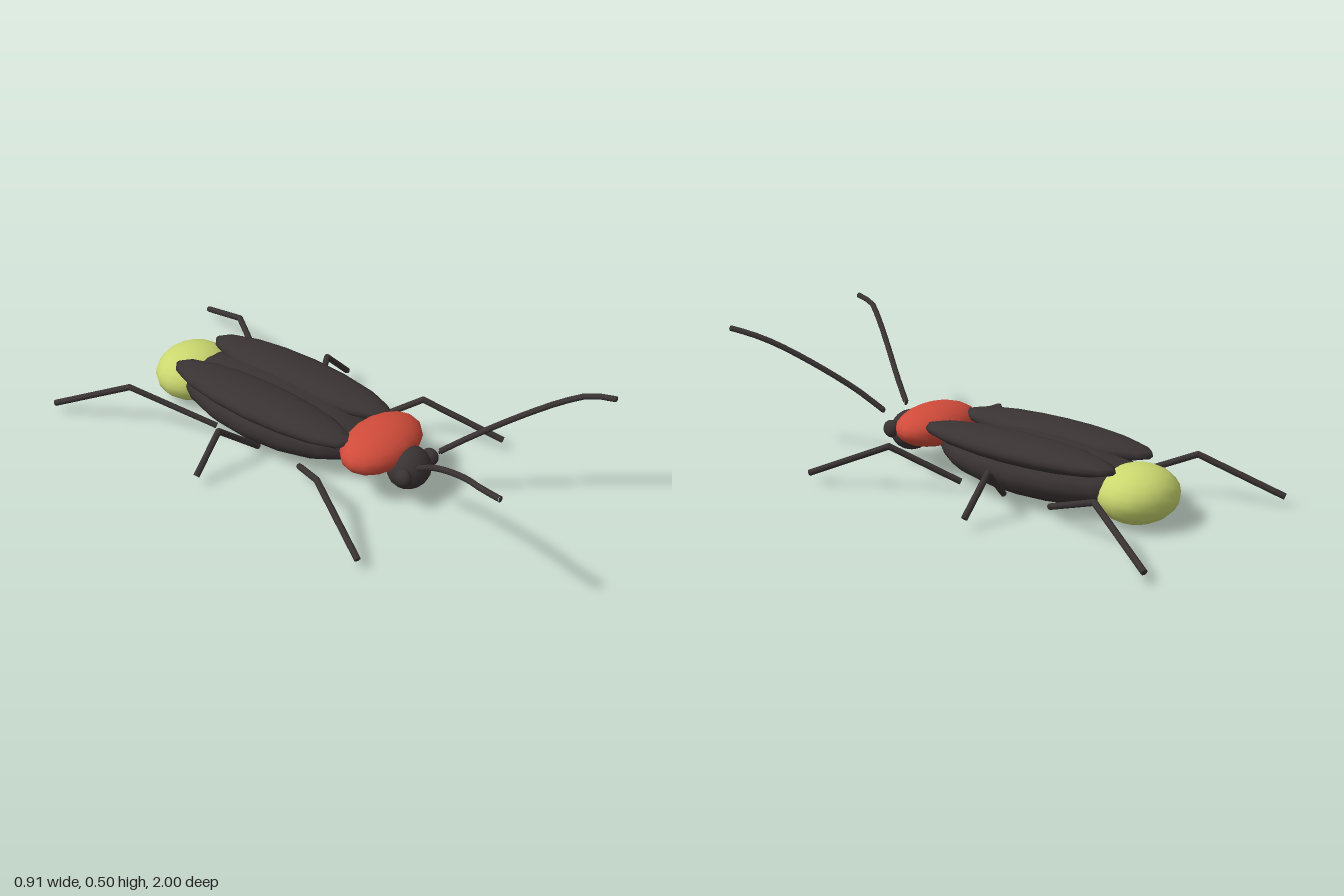
import * as THREE from 'three';

export function createModel() {
  const model = new THREE.Group();
  model.name = 'beetle';
  const mat = (name, color) => Object.assign(new THREE.MeshStandardMaterial({ color }), { name });
  const dark = mat('charcoalShell', 0x3a3334);
  const red = mat('redShield', 0xcf4b3a);
  const glow = mat('yellowGreenGlow', 0xcbd86f);

  const add = (name, geometry, material, parent = model) => {
    const mesh = new THREE.Mesh(geometry, material);
    mesh.name = name;
    parent.add(mesh);
    return mesh;
  };

  // Ellipsoid with given centre and radii
  const blob = (name, material, centre, radii) => {
    const geometry = new THREE.SphereGeometry(1, 16, 12);
    geometry.scale(...radii);
    add(name, geometry, material).position.set(...centre);
  };

  // Straight rod between two points
  const rod = (name, a, b, radius, parent) => {
    const dir = b.clone().sub(a);
    const mesh = add(name, new THREE.CylinderGeometry(radius, radius, dir.length(), 8), dark, parent);
    mesh.position.copy(a).add(b).multiplyScalar(0.5);
    mesh.quaternion.setFromUnitVectors(new THREE.Vector3(0, 1, 0), dir.normalize());
  };

  // Body
  blob('body', dark, [0, 0.125, -0.24], [0.21, 0.11, 0.45]);
  blob('lantern', glow, [0, 0.107, -0.66], [0.16, 0.103, 0.145]);
  blob('thoraxShield', red, [0, 0.175, 0.265], [0.19, 0.078, 0.125]);
  blob('head', dark, [0, 0.125, 0.392], [0.088, 0.078, 0.08]);

  // Hip, knee and foot depths for front, middle and rear legs
  const legs = {
    front: [0.01, 0.22, 0.505],
    middle: [-0.19, -0.245, -0.245],
    rear: [-0.4, -0.7, -0.99],
  };
  const antennaPath = [
    [0.065, 0.2, 0.48], [0.115, 0.275, 0.57], [0.2, 0.37, 0.7],
    [0.285, 0.45, 0.83], [0.333, 0.484, 0.91], [0.355, 0.497, 1.0],
  ];

  for (const [side, s] of [['left', 1], ['right', -1]]) {
    blob(side + 'WingCase', dark, [s * 0.114, 0.207, -0.213], [0.107, 0.051, 0.43]);
    blob(side + 'Eye', dark, [s * 0.081, 0.14, 0.425], [0.027, 0.034, 0.034]);

    // Antenna: curved tube with end caps
    const antenna = new THREE.Group();
    antenna.name = side + 'Antenna';
    model.add(antenna);
    const points = antennaPath.map(([x, y, z]) => new THREE.Vector3(s * x, y, z));
    const curve = new THREE.CatmullRomCurve3(points);
    add('antennaStalk', new THREE.TubeGeometry(curve, 12, 0.011, 8), dark, antenna);
    for (const p of [points[0], points[points.length - 1]]) {
      const cap = add('antennaEnd', new THREE.SphereGeometry(0.011, 8, 6), dark, antenna);
      cap.scale.z = 0.3;
      cap.position.copy(p);
    }

    // Legs
    for (const [place, [hipZ, kneeZ, footZ]] of Object.entries(legs)) {
      const leg = new THREE.Group();
      leg.name = `${side}${place[0].toUpperCase()}${place.slice(1)}Leg`;
      model.add(leg);
      const hip = new THREE.Vector3(s * 0.162, 0.042, hipZ);
      const knee = new THREE.Vector3(s * 0.318, 0.174, kneeZ);
      const foot = new THREE.Vector3(s * 0.446, 0.043, footZ);
      rod('thigh', hip, knee, 0.012, leg);
      rod('shin', knee, foot, 0.012, leg);
      add('knee', new THREE.SphereGeometry(0.012, 8, 6), dark, leg).position.copy(knee);
    }
  }
  return model;
}
